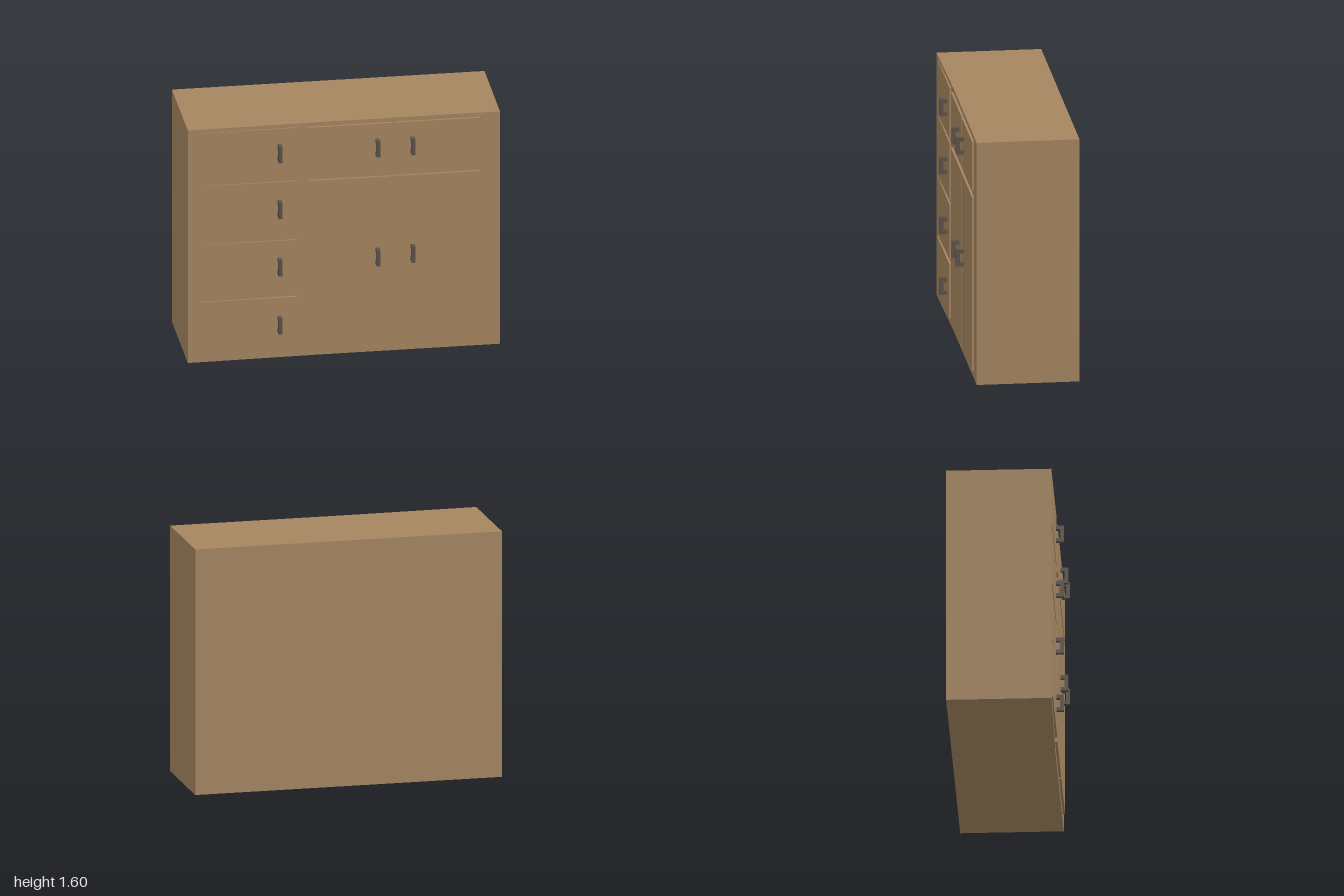
import * as THREE from 'three';

const wood = new THREE.MeshStandardMaterial({ color: 0xa58560 });
wood.name = 'brown wood';
const metal = new THREE.MeshStandardMaterial({ color: 0x5a524a });
metal.name = 'dark metal';

const BACK = -0.36;

// Box between two corners
function box(name, x0, x1, y0, y1, z0, z1) {
  const mesh = new THREE.Mesh(new THREE.BoxGeometry(x1 - x0, y1 - y0, z1 - z0), wood);
  mesh.position.set((x0 + x1) / 2, (y0 + y1) / 2, (z0 + z1) / 2);
  mesh.name = name;
  return mesh;
}

// Plan outline (x, z) raised to the cabinet height
function carcass(name, plan) {
  const shape = new THREE.Shape(plan.map(([x, z]) => new THREE.Vector2(x, -z)));
  const geometry = new THREE.ExtrudeGeometry(shape, { depth: 1.6, bevelEnabled: false });
  geometry.rotateX(-Math.PI / 2);
  const mesh = new THREE.Mesh(geometry, wood);
  mesh.name = name;
  return mesh;
}

// C-shaped pull: side profile extruded across its width
const H = 0.11, D = 0.052, T = 0.025, W = 0.025;
const profile = new THREE.Shape([
  [0, 0], [D, 0], [D, H], [0, H], [0, H - T], [D - T, H - T], [D - T, T], [0, T],
].map(([z, y]) => new THREE.Vector2(z, y)));
const handleGeometry = new THREE.ExtrudeGeometry(profile, { depth: W, bevelEnabled: false });
handleGeometry.rotateY(-Math.PI / 2);
handleGeometry.translate(W / 2, -H / 2, 0);

function handle(name, x, y, z) {
  const mesh = new THREE.Mesh(handleGeometry, metal);
  mesh.position.set(x, y, z);
  mesh.name = name;
  return mesh;
}

export function createModel() {
  const model = new THREE.Group();
  model.name = 'cabinet';

  // Drawer cabinet with a slightly angled front, and door cabinet
  model.add(carcass('drawerCabinet', [[-1, BACK], [-1, 0.308], [-0.225, 0.297], [-0.225, BACK]]));
  model.add(carcass('doorCabinet', [[-0.225, BACK], [-0.225, 0.296], [1, 0.296], [1, BACK]]));

  // Drawers: bottom, top, front depth, handle height
  const drawers = [
    [0.05, 0.415, 0.314, 0.235],
    [0.445, 0.805, 0.31, 0.635],
    [0.835, 1.21, 0.31, 1.03],
    [1.24, 1.575, 0.31, 1.415],
  ];
  drawers.forEach(([y0, y1, z, hy], i) => {
    model.add(box(`drawer${i + 1}`, -0.92, -0.302, y0, y1, 0.28, z));
    model.add(handle(`drawerHandle${i + 1}`, -0.413, hy, 0.309));
  });

  // Doors: name, left, right, bottom, top, handle position
  const doors = [
    ['tallDoorInner', -0.224, 0.315, 0.055, 1.205, 0.213, 0.665],
    ['tallDoorOuter', 0.327, 0.87, 0.055, 1.205, 0.438, 0.675],
    ['smallDoorInner', -0.224, 0.308, 1.243, 1.572, 0.213, 1.415],
    ['smallDoorOuter', 0.327, 0.87, 1.243, 1.572, 0.438, 1.415],
  ];
  for (const [name, x0, x1, y0, y1, hx, hy] of doors) {
    model.add(box(name, x0, x1, y0, y1, 0.28, 0.311));
    model.add(handle(name + 'Handle', hx, hy, 0.308));
  }

  return model;
}
